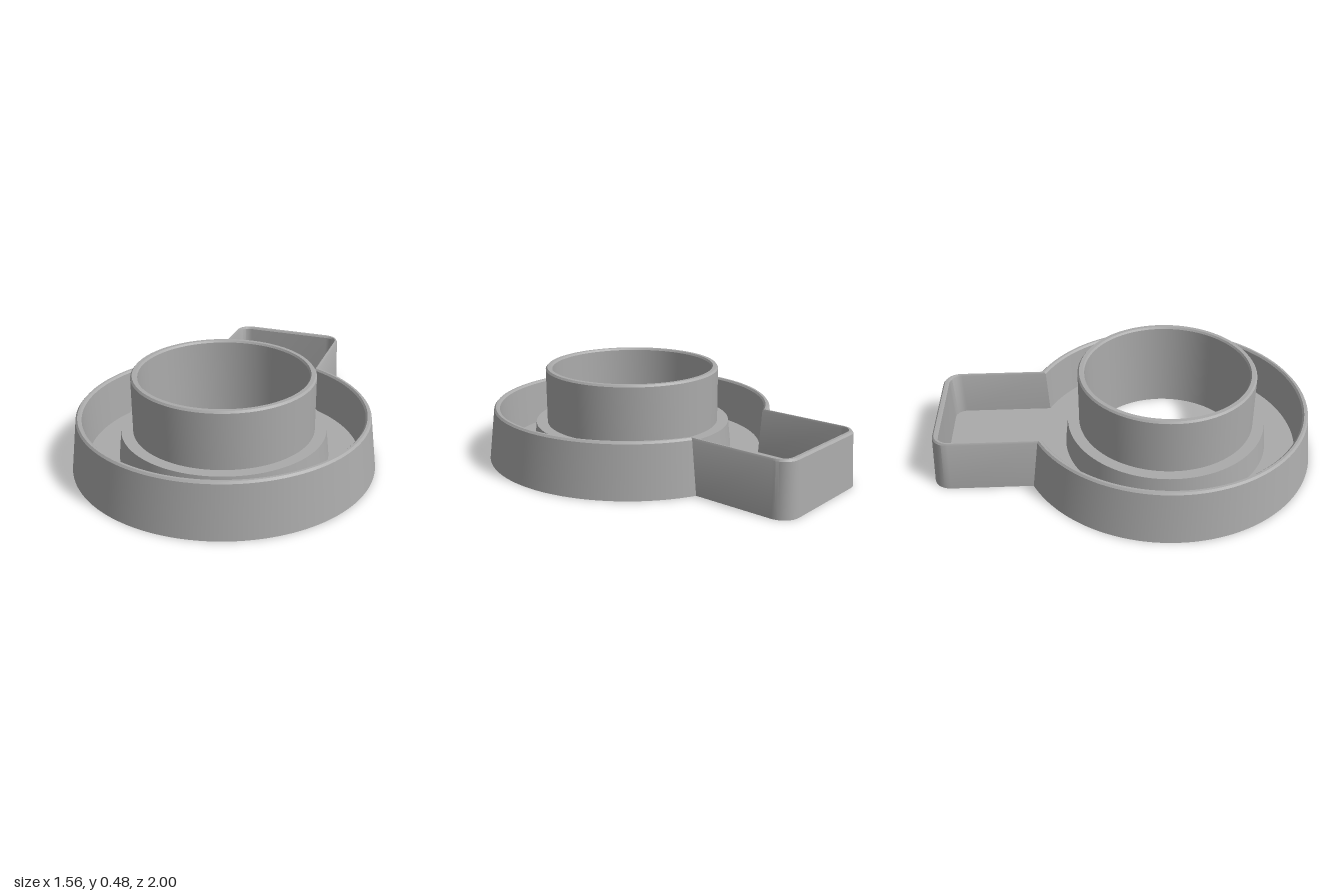
import * as THREE from 'three';
import { toCreasedNormals } from 'three/addons/utils/BufferGeometryUtils.js';

const CZ = 0.22; // centre of the round body

// Keyhole outline: circle of radius R joined to a round-cornered tab reaching back to zBack
function outline(R, w, zBack, corner) {
  const pts = [], a = Math.asin(w / R), N = 128, M = 8;
  for (let i = 0; i <= N; i++) {
    const t = a + (2 * Math.PI - 2 * a) * i / N;
    pts.push([R * Math.sin(t), CZ - R * Math.cos(t)]);
  }
  for (const side of [-1, 1]) {
    for (let i = 0; i <= M; i++) {
      const t = Math.PI / 2 * (side < 0 ? i : M - i) / M;
      pts.push([side * (w - corner + corner * Math.cos(t)), zBack + corner - corner * Math.sin(t)]);
    }
  }
  return pts;
}

// Skin between successive outlines, each { y, pts }
function loft(levels) {
  const pos = [];
  for (let k = 0; k + 1 < levels.length; k++) {
    const lo = levels[k], hi = levels[k + 1], n = lo.pts.length;
    for (let i = 0; i < n; i++) {
      const j = (i + 1) % n;
      const v = (l, m) => [l.pts[m][0], l.y, l.pts[m][1]];
      pos.push(...v(lo, i), ...v(hi, i), ...v(lo, j));
      pos.push(...v(lo, j), ...v(hi, i), ...v(hi, j));
    }
  }
  const g = new THREE.BufferGeometry();
  g.setAttribute('position', new THREE.Float32BufferAttribute(pos, 3));
  return toCreasedNormals(g, 0.5);
}

// Flat keyhole plate with a round opening, facing up (1) or down (-1)
function plate(pts, holeR, y, facing) {
  const shape = new THREE.Shape(pts.map(([x, z]) => new THREE.Vector2(x, -facing * z)));
  shape.holes.push(new THREE.Path().absarc(0, -facing * CZ, holeR, 0, Math.PI * 2, true));
  return new THREE.ShapeGeometry(shape, 64).rotateX(-facing * Math.PI / 2).translate(0, y, 0);
}

export function createModel() {
  const model = new THREE.Group();
  const grey = new THREE.MeshStandardMaterial({ color: 0xaaaaaa });
  grey.name = 'grey';
  const add = (name, geometry) => {
    const mesh = new THREE.Mesh(geometry, grey);
    mesh.name = name;
    model.add(mesh);
    return mesh;
  };

  // Tapered outer wall, bevelled rim and inner wall of the tray
  const levels = [
    { y: 0, pts: outline(0.78, 0.33, -1, 0.09) },
    { y: 0.27, pts: outline(0.746, 0.322, -0.985, 0.085) },
    { y: 0.28, pts: outline(0.737, 0.317, -0.977, 0.08) },
    { y: 0.28, pts: outline(0.725, 0.311, -0.962, 0.07) },
    { y: 0.27, pts: outline(0.716, 0.307, -0.955, 0.065) },
    { y: 0.04, pts: outline(0.7, 0.3, -0.945, 0.06) },
  ];
  add('trayWall', loft(levels));
  add('trayFloor', plate(levels[5].pts, 0.54, 0.04, 1));
  add('underside', plate(levels[0].pts, 0.7, 0, -1));

  // Stepped collar with its bore and the shallow groove underneath
  const profile = [
    [0.54, 0.04], [0.525, 0.18], [0.465, 0.18], [0.465, 0.47], [0.457, 0.48],
    [0.437, 0.48], [0.43, 0.47], [0.42, 0], [0.6, 0], [0.6, 0.02], [0.7, 0.02], [0.7, 0],
  ].map(([r, y]) => new THREE.Vector2(r, y));
  const collar = add('collar', toCreasedNormals(new THREE.LatheGeometry(profile, 128), 0.5));
  collar.position.z = CZ;

  return model;
}
